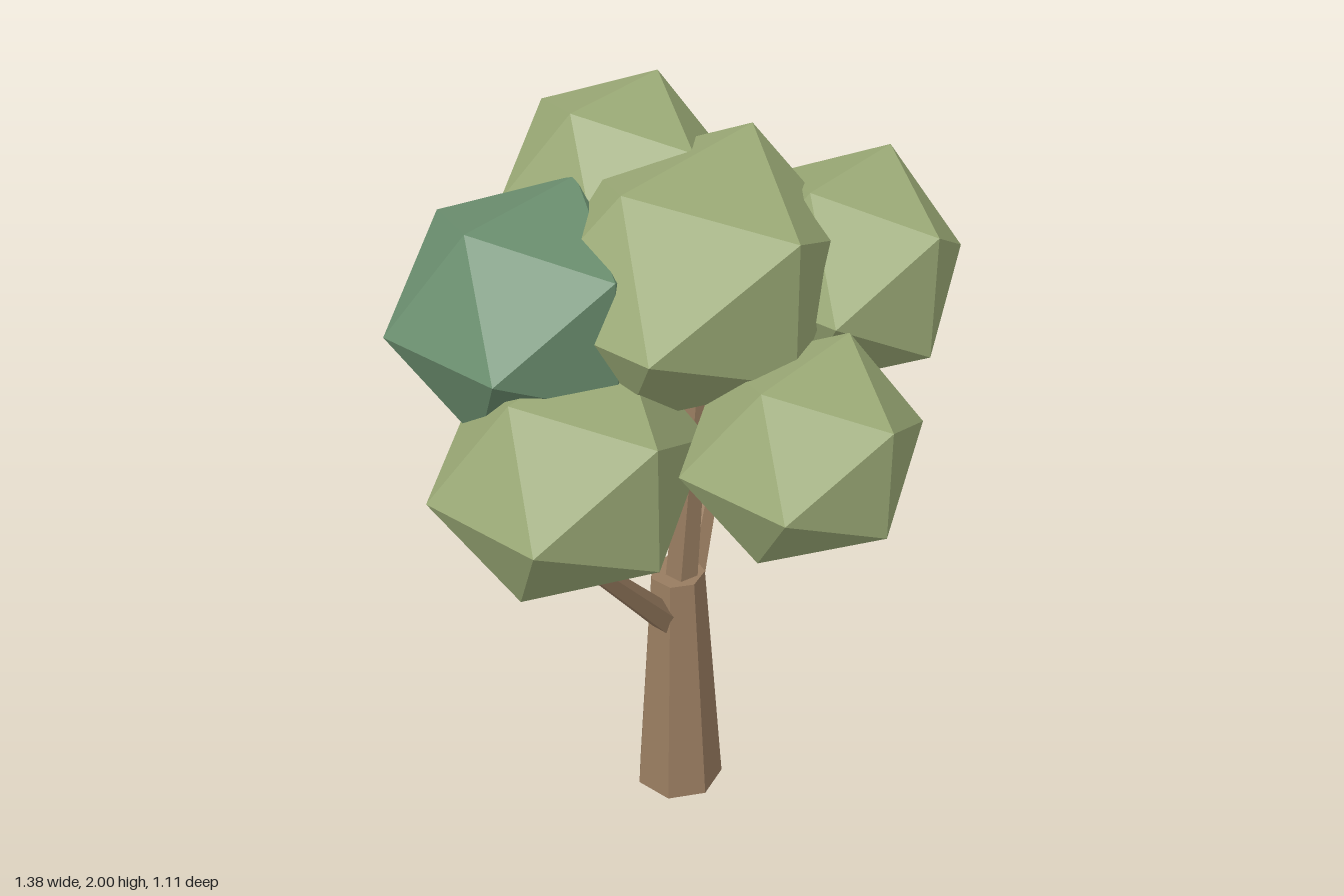
import * as THREE from 'three';

export function createModel() {
  const tree = new THREE.Group();
  tree.name = 'tree';

  const makeMaterial = (name, color) => {
    const m = new THREE.MeshStandardMaterial({ color, flatShading: true });
    m.name = name;
    return m;
  };
  const bark = makeMaterial('bark brown', 0x987c60);
  const lightLeaf = makeMaterial('light leaf green', 0x9cab77);
  const darkLeaf = makeMaterial('dark leaf green', 0x6c9070);

  const add = (name, geometry, material) => {
    const mesh = new THREE.Mesh(geometry, material);
    mesh.name = name;
    tree.add(mesh);
    return mesh;
  };

  // Tapered seven-sided trunk with one corner facing +x
  const trunk = add('trunk', new THREE.CylinderGeometry(0.074, 0.122, 0.715, 7), bark);
  trunk.position.set(0.021, 0.3575, -0.1);
  trunk.rotation.y = Math.PI / 2;

  // Tapered limbs, each running from a base point to a tip point
  const up = new THREE.Vector3(0, 1, 0);
  const addLimb = (name, base, tip, baseRadius, tipRadius) => {
    const a = new THREE.Vector3(...base);
    const b = new THREE.Vector3(...tip);
    const dir = b.clone().sub(a);
    const limb = add(name, new THREE.CylinderGeometry(tipRadius, baseRadius, dir.length(), 5), bark);
    limb.position.copy(a).add(b).multiplyScalar(0.5);
    limb.quaternion.setFromUnitVectors(up, dir.normalize());
    limb.rotateY(Math.PI / 2);
  };
  addLimb('centreStem', [0.026, 0.68, -0.09], [0.045, 1.4, -0.04], 0.045, 0.028);
  addLimb('leftBranch', [0.04, 0.525, -0.1], [0.41, 0.995, -0.247], 0.042, 0.022);
  addLimb('rightBranch', [0, 0.55, -0.1], [-0.39, 1.015, -0.07], 0.042, 0.022);

  // Foliage clumps: stretched icosahedra given by centre and half extents
  const reach = 0.8507; // extent of a unit icosahedron along each axis
  const clumps = [
    ['frontLowerFoliage', lightLeaf, [0.005, 1.29, 0.306], [0.277, 0.24, 0.25]],
    ['rightLowerFoliage', lightLeaf, [-0.38, 1.264, -0.09], [0.311, 0.278, 0.271]],
    ['rightBackFoliage', darkLeaf, [-0.308, 1.6, -0.273], [0.297, 0.275, 0.277]],
    ['backTopFoliage', lightLeaf, [0.073, 1.77, -0.32], [0.253, 0.23, 0.238]],
    ['centreFoliage', lightLeaf, [0.022, 1.63, -0.055], [0.385, 0.3, 0.322]],
    ['leftFrontFoliage', lightLeaf, [0.42, 1.538, 0.122], [0.268, 0.267, 0.261]],
    ['leftBackFoliage', darkLeaf, [0.355, 1.365, -0.117], [0.334, 0.285, 0.264]],
  ];
  for (const [name, material, centre, half] of clumps) {
    const clump = add(name, new THREE.IcosahedronGeometry(1, 0), material);
    clump.position.set(...centre);
    clump.scale.set(...half).divideScalar(reach);
  }

  return tree;
}
